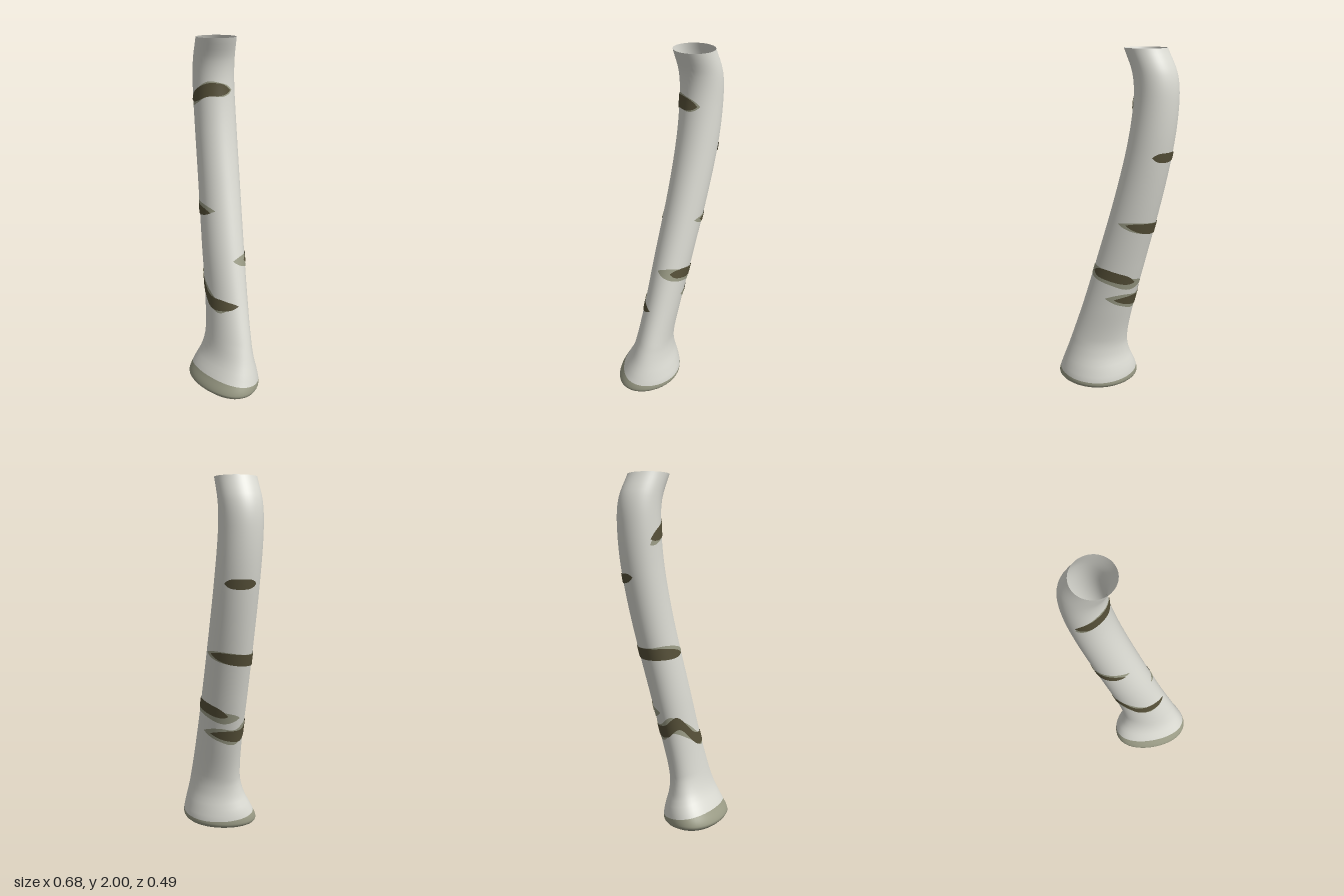
import * as THREE from 'three';

const mat = (name, color) => {
  const m = new THREE.MeshStandardMaterial({ color, side: THREE.DoubleSide });
  m.name = name;
  return m;
};

// Smooth cubic through rows [key, a, b, ...], giving the interpolated columns
function sample(rows, t) {
  let i = 0;
  while (i < rows.length - 2 && t > rows[i + 1][0]) i++;
  const p = rows[i], q = rows[i + 1], h = q[0] - p[0];
  const s = Math.min(1, Math.max(0, (t - p[0]) / h));
  const o = rows[Math.max(0, i - 1)], r = rows[Math.min(rows.length - 1, i + 2)];
  return p.slice(1).map((a, k) => {
    const b = q[k + 1];
    const m0 = (b - o[k + 1]) / (q[0] - o[0]) * h;
    const m1 = (r[k + 1] - a) / (r[0] - p[0]) * h;
    const s2 = s * s, s3 = s2 * s;
    return (2 * s3 - 3 * s2 + 1) * a + (s3 - 2 * s2 + s) * m0 + (3 * s2 - 2 * s3) * b + (s3 - s2) * m1;
  });
}

// Trunk cross-sections: height, x min, x max, z min, z max
const SECTIONS = [
  [0, -0.1, 0.3, -0.08, 0.205],
  [0.012, -0.13, 0.328, -0.105, 0.232],
  [0.035, -0.143, 0.34, -0.115, 0.245],
  [0.1, -0.13, 0.323, -0.103, 0.215],
  [0.2, -0.092, 0.288, -0.077, 0.165],
  [0.3, -0.08, 0.255, -0.07, 0.139],
  [0.52, -0.115, 0.185, -0.1, 0.106],
  [0.8, -0.178, 0.105, -0.143, 0.075],
  [1.2, -0.267, -0.003, -0.202, 0.026],
  [1.5, -0.321, -0.071, -0.235, 0],
  [1.73, -0.342, -0.102, -0.244, -0.007],
  [1.87, -0.331, -0.096, -0.238, -0.003],
  [2, -0.278, -0.051, -0.21, 0.016],
];

// Point on the trunk: angle 0 faces +z, 90 degrees faces +x
function trunkPoint(a, y) {
  const [x0, x1, z0, z1] = sample(SECTIONS, y);
  const egg = 0.03 * Math.max(0, 1 - y / 0.3) * Math.sin(a) ** 2;
  return new THREE.Vector3(
    (x0 + x1) / 2 + (x1 - x0) / 2 * Math.sin(a), y,
    (z0 + z1) / 2 + (z1 - z0) / 2 * Math.cos(a) + egg);
}

function trunkNormal(a, y) {
  const e = 0.004, lo = Math.max(0, y - e), hi = Math.min(2, y + e);
  const da = trunkPoint(a + e, y).sub(trunkPoint(a - e, y));
  const dy = trunkPoint(a, hi).sub(trunkPoint(a, lo));
  return da.cross(dy).normalize();
}

// Patch of the trunk surface between two angles (degrees) and two height rules
function patch(name, material, from, to, lo, hi, nu, nv, offset = 0) {
  const pos = [], nor = [], idx = [];
  for (let j = 0; j <= nv; j++) {
    for (let i = 0; i <= nu; i++) {
      const deg = from + (to - from) * i / nu, a = THREE.MathUtils.degToRad(deg);
      const y = THREE.MathUtils.lerp(lo(deg), hi(deg), j / nv);
      const n = trunkNormal(a, y);
      pos.push(...trunkPoint(a, y).addScaledVector(n, offset).toArray());
      nor.push(...n.toArray());
      if (i < nu && j < nv) {
        const k = j * (nu + 1) + i, up = k + nu + 1;
        idx.push(k, k + 1, up, k + 1, up + 1, up);
      }
    }
  }
  const g = new THREE.BufferGeometry();
  g.setAttribute('position', new THREE.Float32BufferAttribute(pos, 3));
  g.setAttribute('normal', new THREE.Float32BufferAttribute(nor, 3));
  g.setIndex(idx);
  const mesh = new THREE.Mesh(g, material);
  mesh.name = name;
  return mesh;
}

// Bark scar along evenly spaced mid heights, tapering at both ends,
// shown on the outer and the inner wall
function scarMark(name, material, depth, from, to, half, mids) {
  const mark = new THREE.Group();
  mark.name = name;
  const rows = mids.map((m, i) => [from + (to - from) * i / (mids.length - 1), m]);
  const mid = (d) => sample(rows, d)[0];
  const width = (d) => half * (1.02 - (2 * (d - from) / (to - from) - 1) ** 4);
  const lo = (d) => mid(d) - width(d), hi = (d) => mid(d) + width(d);
  const steps = Math.ceil((to - from) / 3);
  mark.add(patch('outerFace', material, from, to, lo, hi, steps, 3, depth));
  mark.add(patch('innerFace', material, from, to, lo, hi, steps, 3, -depth));
  return mark;
}

export function createModel() {
  const bark = mat('pale bark', 0xdcdcd4);
  const moss = mat('grey olive', 0x9d9e88);
  const scar = mat('dark scar', 0x575139);
  const group = new THREE.Group();
  group.name = 'trunk';

  // Stained foot and open bark tube, meeting on a slanted line
  const line = (deg) => 0.073 + 0.028 * Math.cos(THREE.MathUtils.degToRad(deg));
  group.add(patch('foot', moss, 0, 360, () => 0, line, 48, 10));
  group.add(patch('barkTube', bark, 0, 360, line, () => 2, 48, 60));

  // Flat underside
  const outline = [];
  for (let i = 0; i < 48; i++) {
    const p = trunkPoint(i / 48 * Math.PI * 2, 0);
    outline.push(new THREE.Vector2(p.x, p.z));
  }
  const sole = new THREE.Mesh(new THREE.ShapeGeometry(new THREE.Shape(outline)), moss);
  sole.geometry.rotateX(Math.PI / 2);
  sole.name = 'underside';
  group.add(sole);

  // Dark scars, each lying over a paler halo
  const dark = (name, ...rule) => group.add(scarMark(name, scar, 0.004, ...rule));
  const halo = (name, ...rule) => group.add(scarMark(name, moss, 0.002, ...rule));
  dark('topScar', -33, 97, 0.036, [1.65, 1.685, 1.715, 1.717, 1.71]);
  halo('topHalo', -35, 104, 0.04, [1.62, 1.68, 1.722, 1.715, 1.71]);
  dark('upperBackScar', 185, 269, 0.026, [1.45, 1.445, 1.45]);
  dark('middleScar', 163, 376, 0.032, [1.065, 1.04, 1.03, 1.03, 1.03]);
  halo('middleHalo', 143, 390, 0.033, [1.07, 1.045, 1.03, 1.045, 1.045]);
  dark('lowerBackScar', 108, 226, 0.03, [0.765, 0.755, 0.73, 0.7]);
  halo('lowerBackHalo', 68, 260, 0.037, [0.77, 0.757, 0.73, 0.69, 0.69]);
  dark('bottomScar', 186, 432, 0.036, [0.59, 0.58, 0.58, 0.625, 0.525, 0.517, 0.52]);
  halo('bottomHalo', 166, 412, 0.047, [0.6, 0.585, 0.57, 0.615, 0.575, 0.507, 0.515]);
  return group;
}
